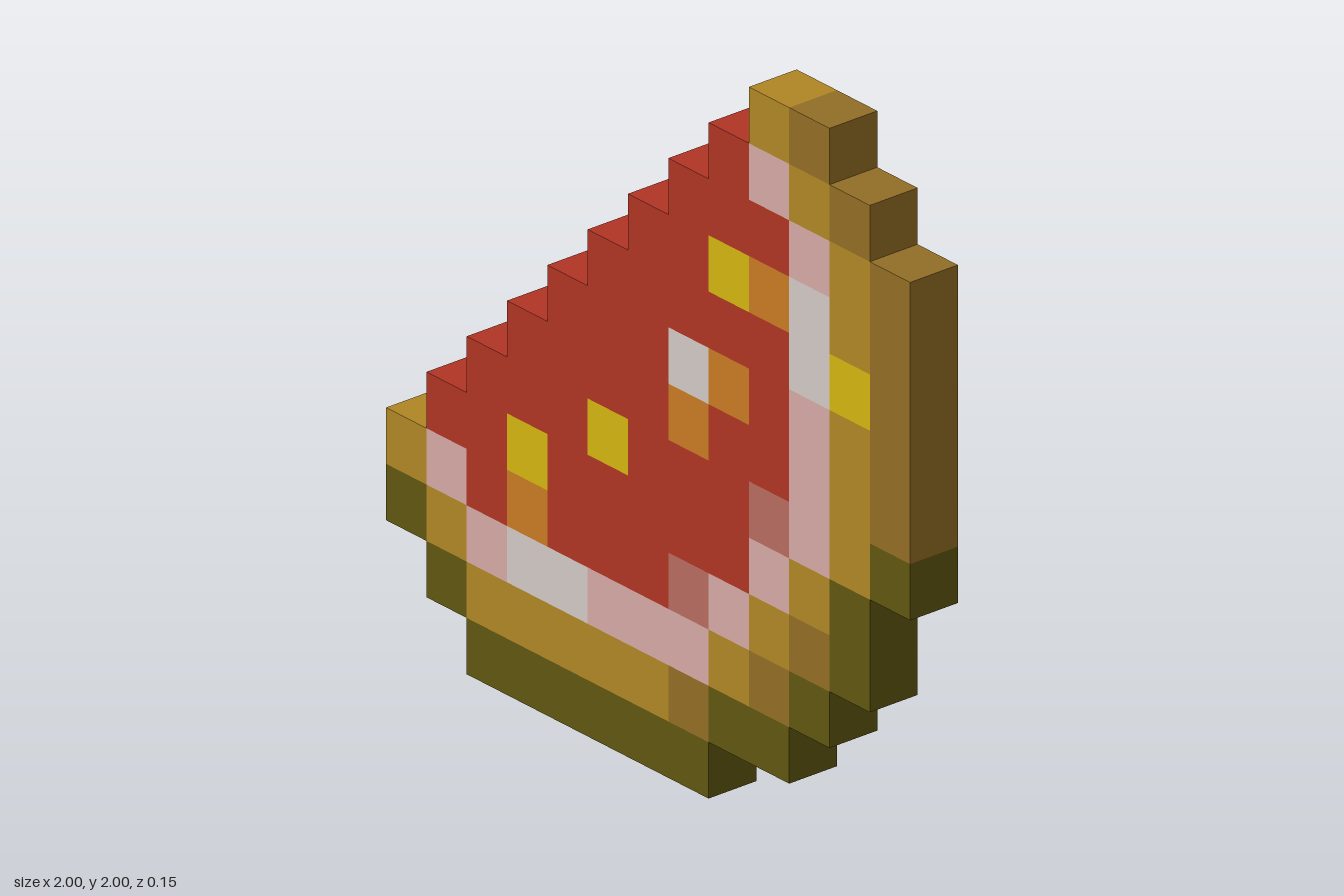
import * as THREE from 'three';
import { mergeGeometries } from 'three/addons/utils/BufferGeometryUtils.js';

const N = 13;
const S = 2 / N; // edge of one block

// Slice pattern, top row first; each letter is a part, a dot is empty
const ROWS = [
  '.........OB..',
  '........RPOB.',
  '.......RRRPOB',
  '......RRYTWOB',
  '.....RRRRRWYB',
  '....RRRWTRPOB',
  '...RRRRTRRPOB',
  '..RRRYRRRMPOD',
  '.RRYRRRRRPOD.',
  'OPRTRRRMPOBD.',
  'DOPWWPPPOBD..',
  '.DOOOOOBDD...',
  '..DDDDDD.....',
];

// letter: [part name, material name, colour]
const PARTS = {
  R: ['filling', 'red', 0xb03524],
  O: ['crust', 'golden brown', 0xb08625],
  B: ['crustShade', 'brown', 0x926e25],
  D: ['crustUnderside', 'dark olive', 0x5f560f],
  P: ['rim', 'pale pink', 0xd4a9a4],
  W: ['rimHighlight', 'pale grey', 0xd2c9c4],
  M: ['rimShade', 'dusty pink', 0xb86b60],
  Y: ['topping', 'yellow', 0xd3b410],
  T: ['toppingShade', 'orange', 0xc87b24],
};

const cell = (r, c) => (ROWS[r] && ROWS[r][c]) || '.';

// One square face of the block centred at (x, y), turned about an axis
function face(x, y, rx, ry) {
  return new THREE.PlaneGeometry(S, S)
    .translate(0, 0, S / 2)
    .rotateX(rx)
    .rotateY(ry)
    .translate(x, y, 0);
}

export function createModel() {
  const group = new THREE.Group();
  group.name = 'fruitSlice';
  const q = Math.PI / 2;

  for (const [letter, [part, colourName, color]] of Object.entries(PARTS)) {
    const faces = [];
    for (let r = 0; r < N; r++) {
      for (let c = 0; c < N; c++) {
        if (cell(r, c) !== letter) continue;
        const x = -1 + (c + 0.5) * S;
        const y = 2 - (r + 0.5) * S;
        // front and back
        faces.push(face(x, y, 0, 0), face(x, y, 0, Math.PI));
        // outer edges only
        if (cell(r, c + 1) === '.') faces.push(face(x, y, 0, q));
        if (cell(r, c - 1) === '.') faces.push(face(x, y, 0, -q));
        if (cell(r - 1, c) === '.') faces.push(face(x, y, -q, 0));
        if (cell(r + 1, c) === '.') faces.push(face(x, y, q, 0));
      }
    }
    const material = new THREE.MeshStandardMaterial({ color });
    material.name = colourName;
    const mesh = new THREE.Mesh(mergeGeometries(faces), material);
    mesh.name = part;
    group.add(mesh);
  }
  return group;
}
